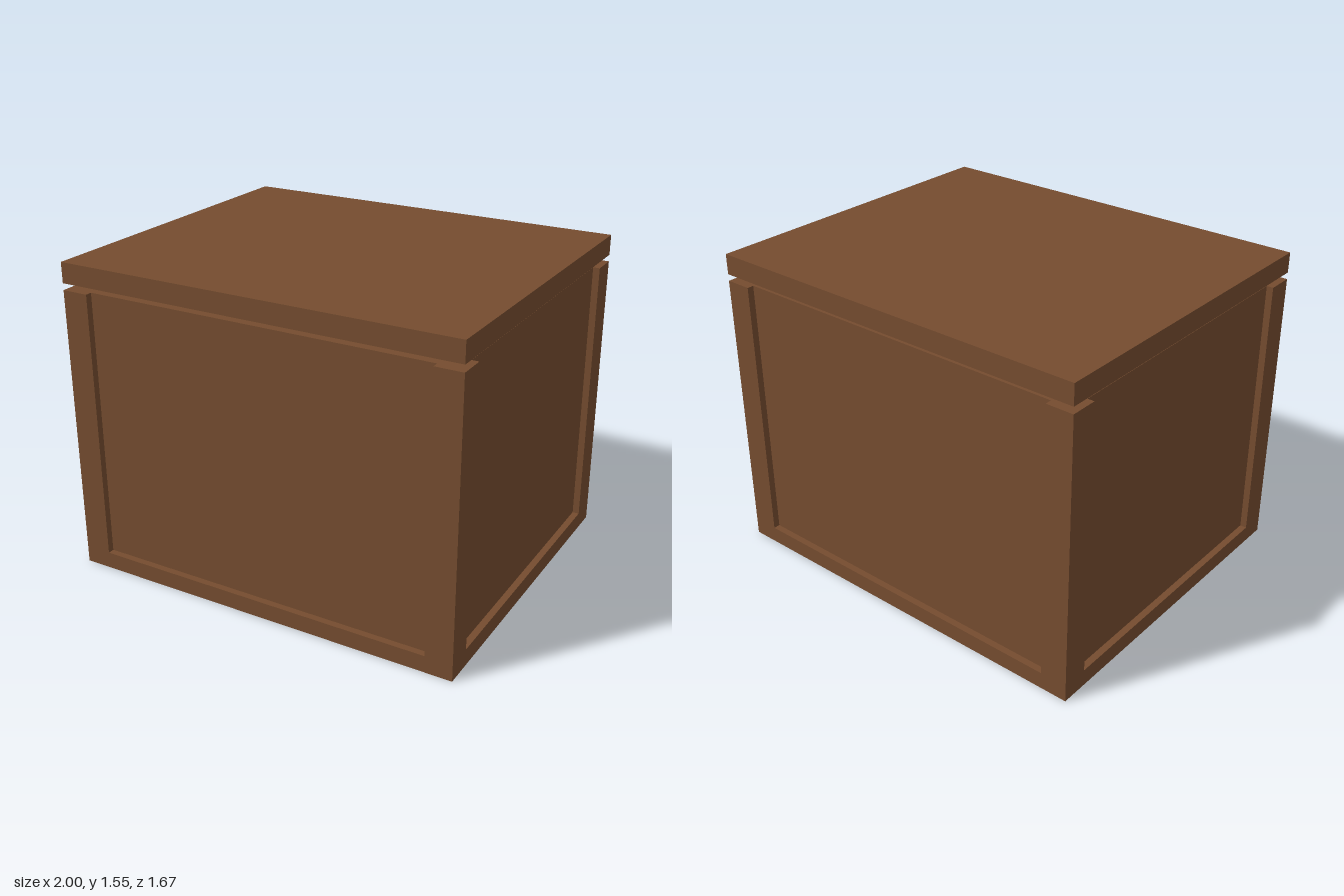
import * as THREE from 'three';

const W = 2, D = 1.667;          // footprint
const BASE = 0.083, TOP = 1.417; // base rail height, body top
const POST = 0.133, INSET = 0.033;
const LID_Y = 1.45, LID_H = 0.1;

export function createModel() {
  const crate = new THREE.Group();
  crate.name = 'crate';
  const wood = new THREE.MeshStandardMaterial({ color: 0x754c2f });
  wood.name = 'brownWood';

  // Box standing on height y
  const addBox = (name, w, h, d, x, y, z) => {
    const mesh = new THREE.Mesh(new THREE.BoxGeometry(w, h, d), wood);
    mesh.name = name;
    mesh.position.set(x, y + h / 2, z);
    crate.add(mesh);
  };

  // Base slab and recessed side panels
  addBox('base', W, BASE, D, 0, 0, 0);
  addBox('panels', W - 2 * INSET, TOP - BASE, D - 2 * INSET, 0, BASE, 0);

  // Corner posts
  for (const sx of [-1, 1]) {
    for (const sz of [-1, 1]) {
      addBox('cornerPost', POST, TOP - BASE, POST,
        sx * (W - POST) / 2, BASE, sz * (D - POST) / 2);
    }
  }

  // Lid, raised clear of the body
  addBox('lid', W, LID_H, D, 0, LID_Y, 0);

  return crate;
}
